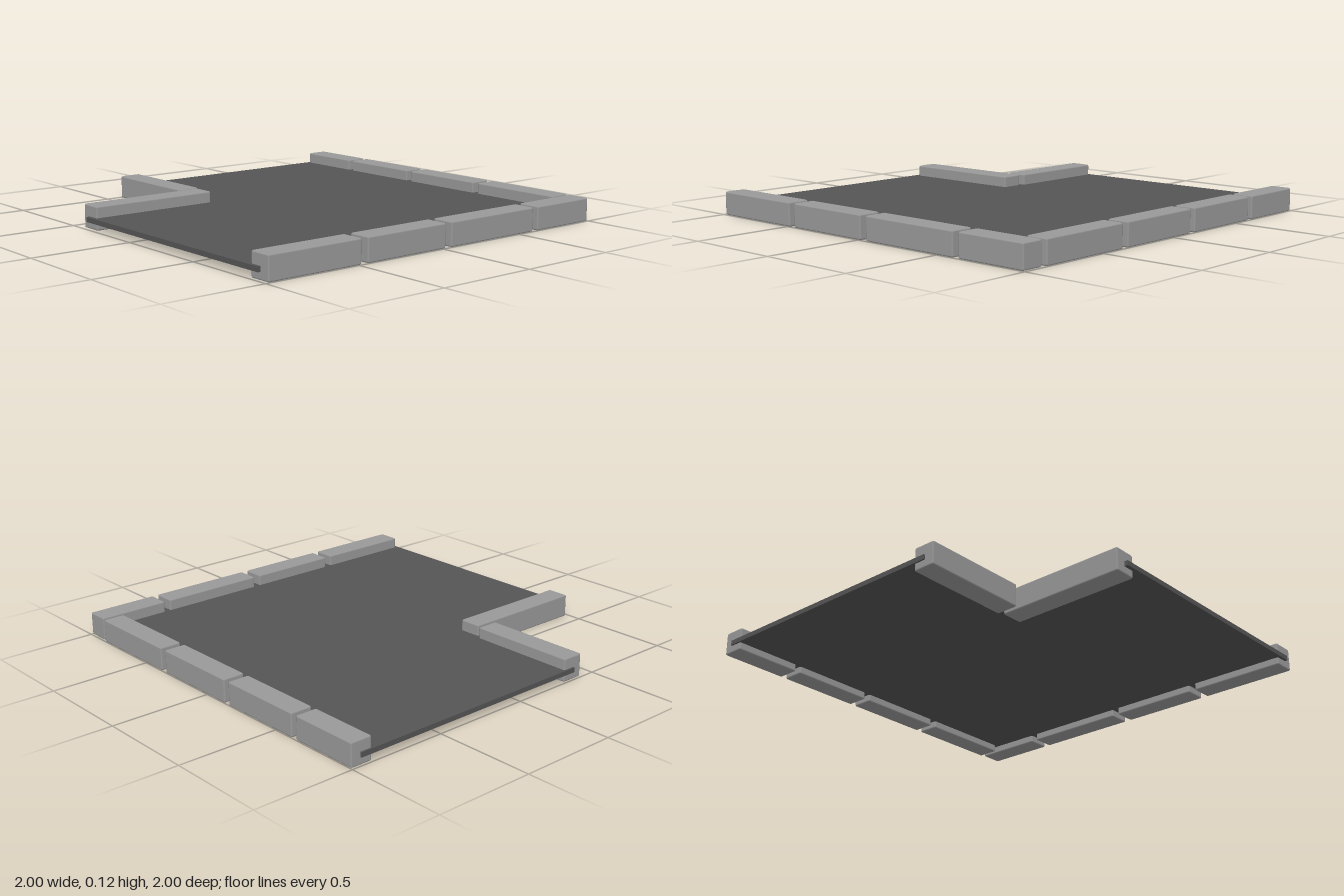
import * as THREE from 'three';
import { RoundedBoxGeometry } from 'three/addons/geometries/RoundedBoxGeometry.js';

const HEIGHT = 0.117;

export function createModel() {
  const model = new THREE.Group();
  const stone = new THREE.MeshStandardMaterial({ color: 0x999999 });
  const ground = new THREE.MeshStandardMaterial({ color: 0x555555 });

  // L-shaped floor slab, drawn in x/z and laid flat
  const outline = [[-1, -0.95], [0.95, -0.95], [0.95, 1], [-0.375, 1], [-0.375, 0.37], [-1, 0.37]];
  const shape = new THREE.Shape(outline.map(([x, z]) => new THREE.Vector2(x, z)));
  const slabGeometry = new THREE.ExtrudeGeometry(shape, { depth: 0.024, bevelEnabled: false });
  slabGeometry.rotateX(Math.PI / 2).translate(0, 0.061, 0);
  const slab = new THREE.Mesh(slabGeometry, ground);
  slab.name = 'floorSlab';
  model.add(slab);

  // Kerb stones with slightly chamfered edges
  function addStone(name, x0, x1, z0, z1) {
    const mesh = new THREE.Mesh(new RoundedBoxGeometry(x1 - x0, HEIGHT, z1 - z0, 1, 0.008), stone);
    mesh.position.set((x0 + x1) / 2, HEIGHT / 2, (z0 + z1) / 2);
    mesh.name = name;
    model.add(mesh);
  }

  // Row along the back edge
  [[-0.992, -0.638], [-0.61, -0.163], [-0.132, 0.333], [0.366, 0.865]]
    .forEach(([a, b], i) => addStone(`backKerb${i + 1}`, a, b, -1, -0.888));
  // Row along the left edge
  [[-0.992, -0.627], [-0.595, -0.051], [-0.016, 0.45], [0.485, 0.985]]
    .forEach(([a, b], i) => addStone(`leftKerb${i + 1}`, 0.885, 1, a, b));
  // Two stones lining the notch
  addStone('notchKerbAcross', -0.992, -0.445, 0.307, 0.42);
  addStone('notchKerbAlong', -0.425, -0.312, 0.321, 0.981);

  return model;
}
